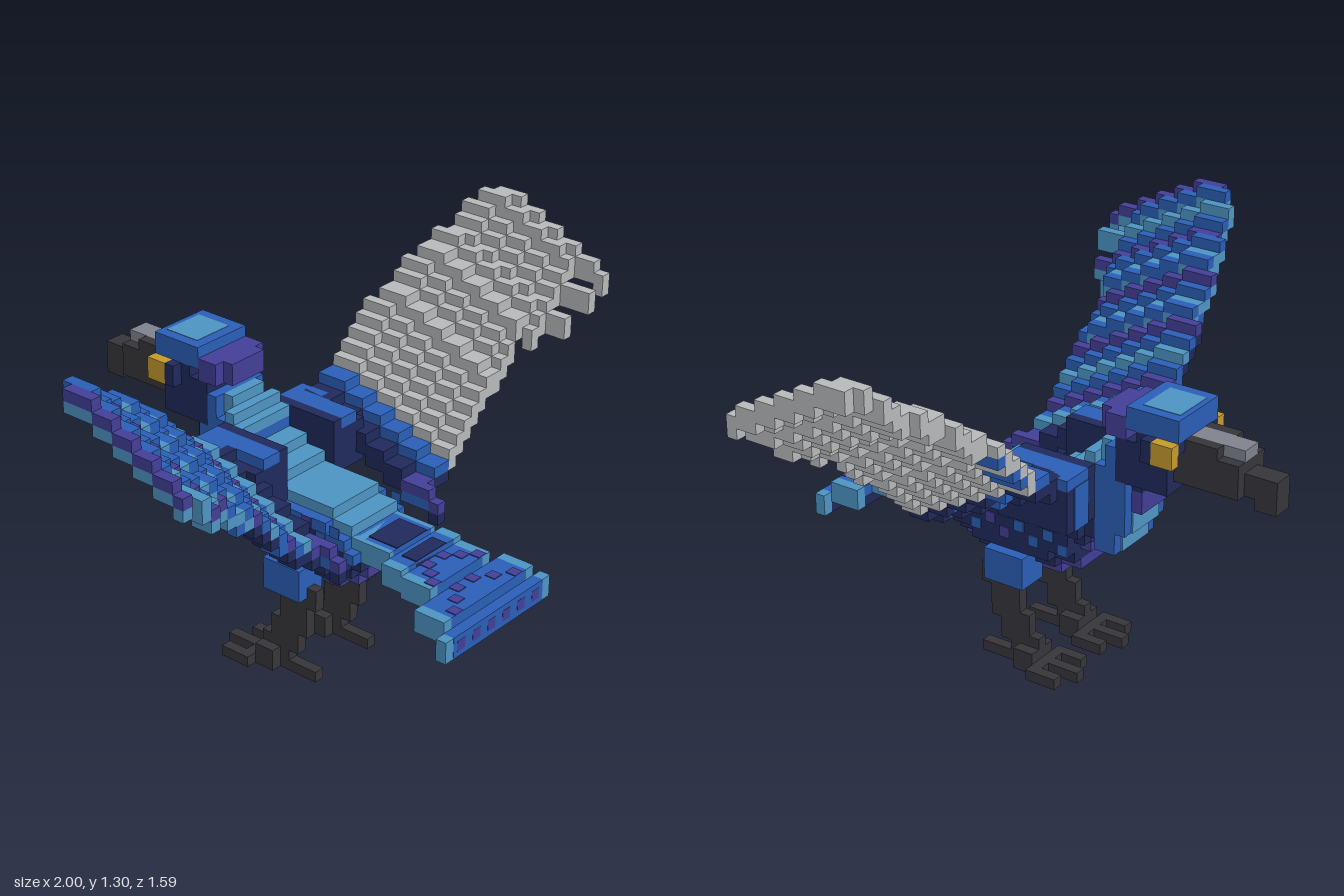
import * as THREE from 'three';
import { mergeGeometries } from 'three/addons/utils/BufferGeometryUtils.js';

const U = 2 / 54; // one cube

export function createModel() {
  const model = new THREE.Group();
  model.name = 'bird';

  const mat = {};
  const colours = {
    blue: 0x2b5fb8, lightBlue: 0x4e95c4, navy: 0x202a5c, purple: 0x433f98,
    charcoal: 0x37363b, beakGrey: 0x81848e, gold: 0xc69a2d, paleGrey: 0xb9babd,
  };
  for (const [name, color] of Object.entries(colours)) {
    mat[name] = new THREE.MeshStandardMaterial({ color });
    mat[name].name = name;
  }

  // One block in cube units; z counts from the beak tip (0) to the tail end (43)
  function block(x0, x1, y0, y1, z0, z1) {
    const g = new THREE.BoxGeometry((x1 - x0) * U, (y1 - y0) * U, (z1 - z0) * U);
    g.translate((x0 + x1) / 2 * U, (y0 + y1) / 2 * U, ((z0 + z1) / 2 - 21.5) * U);
    return g;
  }

  // Collects blocks of a part and makes one mesh for each colour
  function part(name, build) {
    const group = new THREE.Group();
    group.name = name;
    const byColour = {};
    const one = (c, ...b) => (byColour[c] ??= []).push(block(...b));
    // x0 = 0 spans the centre line, otherwise the block is mirrored
    const both = (c, x0, x1, ...rest) => {
      if (x0 === 0) return one(c, -x1, x1, ...rest);
      one(c, x0, x1, ...rest);
      one(c, -x1, -x0, ...rest);
    };
    build(both, one);
    for (const [c, list] of Object.entries(byColour)) {
      const mesh = new THREE.Mesh(mergeGeometries(list), mat[c]);
      mesh.name = `${name} ${c}`;
      group.add(mesh);
    }
    model.add(group);
  }

  part('beak', (b) => {
    b('charcoal', 0, 1, 20, 23, 0, 2);
    b('charcoal', 0, 1, 21, 23, 2, 3);
    b('charcoal', 0, 2, 21, 24, 3, 9);
    b('charcoal', 1, 2, 24, 25, 5, 9);
    b('beakGrey', 0, 1, 24, 25, 3, 8);
  });

  part('head', (b) => {
    b('navy', 0, 3, 20, 24, 9, 13);
    b('navy', 0, 3, 24, 25, 8, 12);
    b('blue', 0, 3, 25, 27, 8, 13);
    b('lightBlue', 0, 2, 27, 27.04, 8.5, 12);
    b('purple', 0, 3, 24, 26, 13, 15);
    b('purple', 0, 2, 24, 26, 15, 16);
    b('navy', 0, 3, 20, 24, 13, 14);
    b('blue', 0, 3, 20, 23, 14, 15);
  });

  part('eyes', (b) => {
    b('gold', 3, 4, 23, 25, 8, 10);
    b('navy', 3, 4, 23, 25, 10, 11);
  });

  part('body', (b) => {
    // breast
    b('navy', 0, 2, 19, 20, 12, 13);
    b('purple', 0, 2, 17, 19, 12, 13);
    b('blue', 0, 3, 15, 20, 13, 15);
    b('lightBlue', 0, 2, 15, 17, 12.85, 13);
    b('blue', 0, 3, 13, 15, 14, 16);
    b('lightBlue', 0, 2, 13, 15, 13.85, 14);
    b('blue', 0, 3, 15, 21, 15, 16);
    // slices from shoulders to rump: z0, z1, bottom, top, half width
    const slices = [
      [16, 17, 13, 22, 3], [17, 18, 12, 21, 4], [18, 20, 10, 19, 4], [20, 22, 9, 18, 4],
      [22, 25, 9, 17, 4], [25, 28, 9, 17, 4], [28, 30, 10, 16, 4], [30, 31, 11, 15, 4],
    ];
    for (const [z0, z1, y0, y1, w] of slices) {
      b('purple', 0, 2, y0, y0 + 1, z0, z1);
      b('navy', 0, 3, y0 + 1, y0 + 2, z0, z1);
      const split = Math.min(16, y1 - 2);
      b('navy', 0, w, y0 + 2, split, z0, z1);
      b('blue', 0, w, split, y1 - 1, z0, z1);
      b('lightBlue', 0, 3, y1 - 1, y1, z0, z1);
    }
    // light neck ridge
    b('lightBlue', 0, 2, 20, 23, 15, 16);
    // speckled flanks
    for (let r = 0; r < 4; r++) for (let k = 0; k < 4; k++) {
      const z = 18 + k * 3 + (r % 2) * 1.5;
      b(k % 3 === 2 ? 'purple' : 'blue', 4, 4.1, 12 + r, 13 + r, z, z + 1);
    }
  });

  part('shoulders', (b) => {
    b('navy', 3, 7, 16, 20, 16, 23);
    b('navy', 3, 4, 20, 21, 16, 23);
    b('blue', 4, 7, 20, 21, 16, 19);
    b('blue', 4, 6, 20, 21, 19, 23);
    b('blue', 4, 6, 16, 20, 15.9, 16);
  });

  part('tail', (b) => {
    // steps widening to the rear: z0, z1, bottom, half width, edge width
    const steps = [
      [30, 34, 13, 3, 0.5], [34, 36, 12.5, 4, 1], [36, 39, 12, 4, 1],
      [39, 42, 11, 6, 1], [42, 43, 10, 7, 1],
    ];
    for (const [z0, z1, y, w, e] of steps) {
      b('navy', 0, w - e, y, y + 1, z0, z1);
      b('blue', 0, w - e, y + 1, y + 2, z0, z1);
      b('lightBlue', w - e, w, y, y + 2, z0, z1);
    }
    b('blue', 0, 6, 10, 12, 42.9, 43.02);
    // chevrons
    b('navy', 0, 2, 15, 15.08, 31, 34);
    b('navy', 0, 2, 14, 14.6, 34.5, 36);
    for (let k = 0; k < 3; k++) {
      b('purple', k + 0.5, k + 1.5, 14, 14.08, 36 + k, 37 + k);
      b('purple', k * 1.5 + 0.5, k * 1.5 + 1.5, 13, 13.08, 39 + k, 40 + k);
      b('purple', k * 2 + 0.5, k * 2 + 1.5, 10.5, 11.5, 43, 43.04);
    }
  });

  part('legs', (b) => {
    b('blue', 2, 5, 8, 11, 22, 26);
    b('charcoal', 3, 4, 7, 9, 26, 27);
    b('charcoal', 3, 4, 5, 8, 23, 26);
    b('charcoal', 3, 4, 4, 5, 22, 26);
    b('charcoal', 3, 4, 2, 4, 22, 25);
    b('charcoal', 3, 4, 1, 3, 21, 24);
    b('charcoal', 2, 5, 1, 2, 21, 23);
  });

  part('feet', (b) => {
    b('charcoal', 3, 4, 0, 1, 17, 27);
    b('charcoal', 2, 3, 0, 1, 20, 23);
    b('charcoal', 4, 5, 0, 1, 20, 23);
    b('charcoal', 1, 2, 0, 1, 18, 21);
    b('charcoal', 5, 6, 0, 1, 18, 21);
  });

  // Wings: columns from root to tip, each stepping down towards the rear
  const crest = [21, 21, 22, 22, 23, 24, 25, 26, 27, 28, 28, 29, 30, 31, 31, 32, 32, 33, 34, 35, 35];
  const lead = [17, 17, 17, 17, 17, 17, 17, 17, 17, 18, 18, 18, 18, 19, 19, 19, 20, 20, 20, 21, 22];
  const rear = [32, 30, 30, 30, 30, 30, 30, 30, 30, 30, 30, 30, 30, 30, 31, 31, 33, 31, 34, 31, 34];
  const stripes = ['purple', 'blue', 'lightBlue', 'blue'];

  function wing(name, side) {
    part(name, (_, one) => {
      crest.forEach((top, n) => {
        const i = n + 6;
        const x0 = side > 0 ? i : -i - 1;
        const grey = side > 0 && i >= 10;
        for (let z = lead[n]; z < rear[n];) {
          const drop = Math.floor((z - lead[n]) / 2.2);
          let end = z + 1;
          while (end < rear[n] && Math.floor((end - lead[n]) / 2.2) === drop) end++;
          const y = top - drop;
          let upper = i < 8 ? (z > 27 ? 'purple' : 'navy') : stripes[(26 - i) % 4];
          let lower = i < 15 ? 'navy' : 'lightBlue';
          if (i < 20 && (n + drop * 2) % 5 === 0) lower = 'blue';
          if (side > 0 && (i === 8 || i === 9)) upper = 'blue';
          if (grey) upper = lower = 'paleGrey';
          // blue patches along the leading edge
          if (grey && drop === 0 && (i === 11 || i === 12 || i === 14)) lower = 'blue';
          one(upper, x0, x0 + 1, y - 1, y, z, end);
          one(lower, x0, x0 + 1, y - 2, y - 1, z, end);
          z = end;
        }
      });
    });
  }
  wing('leftWing', 1);
  wing('rightWing', -1);

  return model;
}
